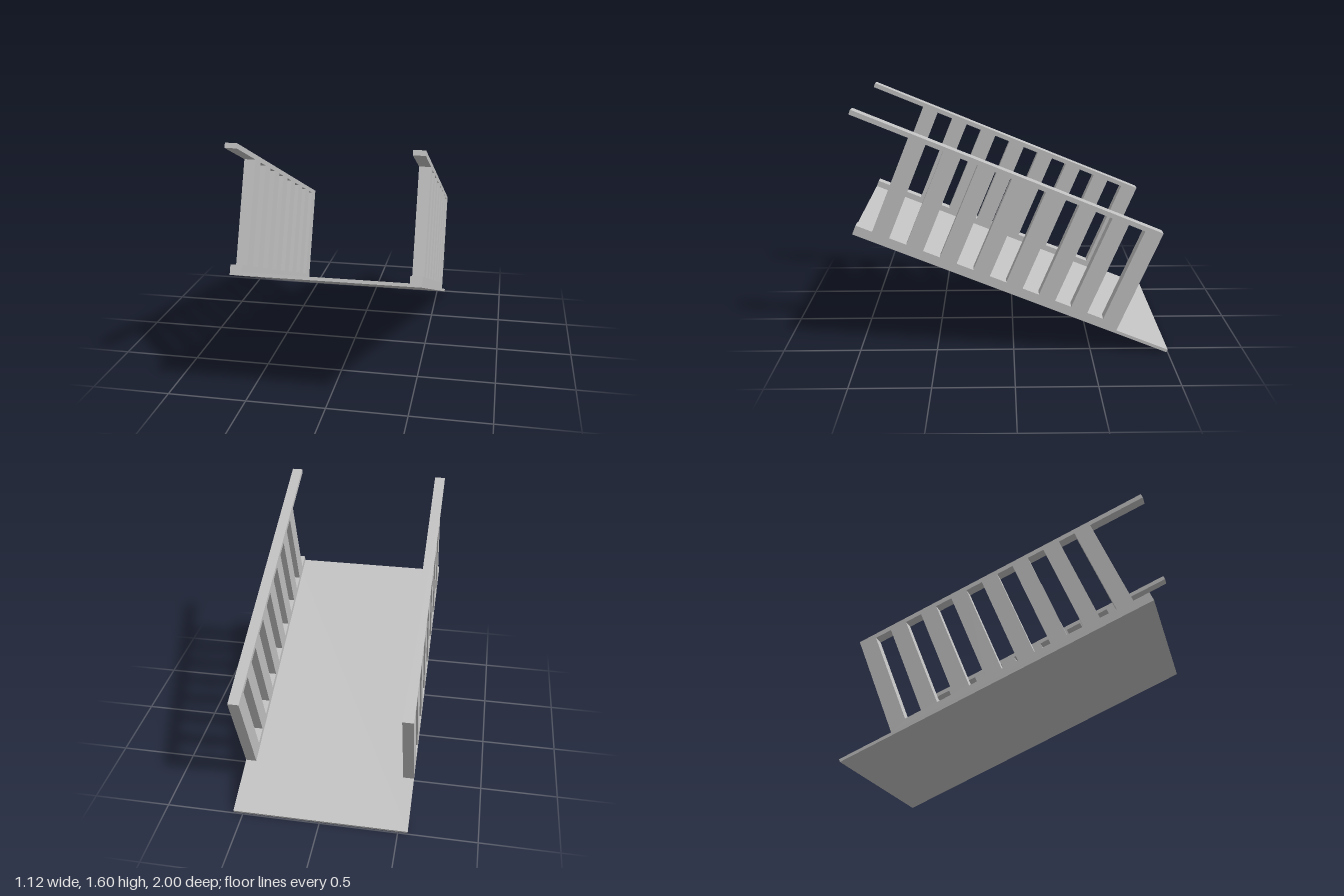
import * as THREE from 'three';

export function createModel() {
  const model = new THREE.Group();
  model.name = 'slopedRamp';
  const grey = new THREE.MeshStandardMaterial({ color: 0xc0c0c0 });
  grey.name = 'lightGrey';

  // Ramp frame: local x runs down the slope, y is square to it, z is across
  const angle = Math.atan2(0.3812, 0.9245);
  const down = new THREE.Vector3(0, -Math.sin(angle), -Math.cos(angle));
  const normal = new THREE.Vector3(0, Math.cos(angle), -Math.sin(angle));
  const ramp = new THREE.Group();
  ramp.name = 'ramp';
  ramp.quaternion.setFromRotationMatrix(
    new THREE.Matrix4().makeBasis(down, normal, new THREE.Vector3(1, 0, 0)));
  ramp.position.set(0, 0.8215, 1);
  model.add(ramp);

  const length = 2.155, halfWidth = 0.562, deckThick = 0.02;
  const railThick = 0.07, railEnd = 1.787, railTop = 0.73;
  const curbTop = 0.062, handrailBottom = 0.7;
  const firstSlat = 0.108, slatCount = 8;
  const slat = (railEnd - firstSlat) / (slatCount * 2 - 1);

  // Deck
  const deck = new THREE.Mesh(new THREE.BoxGeometry(length, deckThick, halfWidth * 2), grey);
  deck.name = 'deck';
  deck.position.set(length / 2, deckThick / 2, 0);
  ramp.add(deck);

  // Railing outline: curb, slats and a handrail that overhangs the upper end
  const outline = new THREE.Shape([
    [0, deckThick], [railEnd, deckThick], [railEnd, railTop], [-0.267, railTop],
    [-0.267, handrailBottom], [firstSlat, handrailBottom], [firstSlat, curbTop], [0, curbTop],
  ].map(([x, y]) => new THREE.Vector2(x, y)));

  // Openings between slats
  for (let i = 0; i < slatCount - 1; i++) {
    const a = firstSlat + slat * (2 * i + 1), b = a + slat;
    outline.holes.push(new THREE.Path([
      [a, curbTop], [a, handrailBottom], [b, handrailBottom], [b, curbTop],
    ].map(([x, y]) => new THREE.Vector2(x, y))));
  }
  const railing = new THREE.ExtrudeGeometry(outline, { depth: railThick, bevelEnabled: false });

  for (const [name, z] of [['leftRailing', halfWidth - railThick], ['rightRailing', -halfWidth]]) {
    const mesh = new THREE.Mesh(railing, grey);
    mesh.name = name;
    mesh.position.z = z;
    ramp.add(mesh);
  }
  return model;
}
